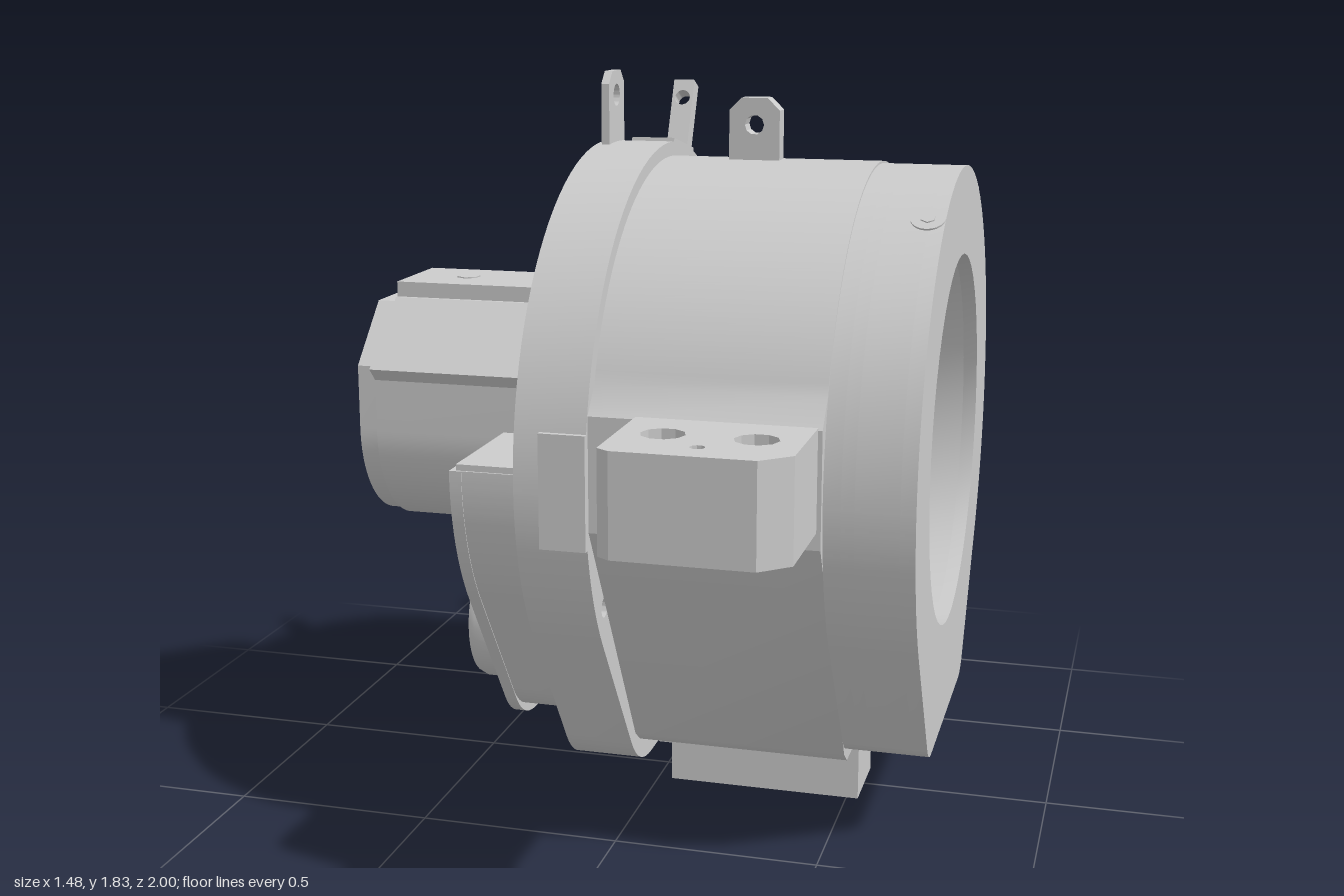
import * as THREE from 'three';
import { toCreasedNormals } from 'three/addons/utils/BufferGeometryUtils.js';

const CY = 0.94; // height of the main axis
const TAN = 0.607; // angle at which the tapered sides leave the circle

export function createModel() {
  const model = new THREE.Group();
  const mat = new THREE.MeshStandardMaterial({ color: 0xcccccc, side: THREE.DoubleSide });

  const add = (name, geo, parent = model) => {
    const mesh = new THREE.Mesh(geo, mat);
    mesh.name = name;
    parent.add(mesh);
    return mesh;
  };
  const box = (name, x0, x1, y0, y1, z0, z1, parent) =>
    add(name, new THREE.BoxGeometry(x1 - x0, y1 - y0, z1 - z0)
      .translate((x0 + x1) / 2, (y0 + y1) / 2, (z0 + z1) / 2), parent);
  const extrude = (shape, depth, seg = 24) => toCreasedNormals(
    new THREE.ExtrudeGeometry(shape, { depth, bevelEnabled: false, curveSegments: seg }), 0.5);
  // Section drawn in (-z, y), extruded along x from x0 to x1
  const alongX = (name, shape, x0, x1, parent) =>
    add(name, extrude(shape, x1 - x0).rotateY(Math.PI / 2).translate(x0, 0, 0), parent);
  const circle = (u, v, r) => new THREE.Path().absarc(u, v, r, 0, Math.PI * 2, true);
  const poly = (pts) => new THREE.Shape(pts.map((p) => new THREE.Vector2(...p)));

  // Lower half of a circle that tapers to a flat, rounded bottom
  const lowerCasing = (r, bottom, round) => {
    const c = Math.cos(TAN), s = Math.sin(TAN);
    const w = (r + s * (bottom - CY)) / c;
    const sh = new THREE.Shape();
    sh.absarc(0, CY, r, Math.PI, Math.PI + TAN, false);
    sh.lineTo(-w - s * round, bottom + c * round);
    sh.quadraticCurveTo(-w, bottom, -w + round, bottom);
    sh.lineTo(w - round, bottom);
    sh.quadraticCurveTo(w, bottom, w + s * round, bottom + c * round);
    sh.absarc(0, CY, r, -TAN, 0, false);
    return sh;
  };
  const casing = (r, bottom, round, holes) => {
    const sh = lowerCasing(r, bottom, round);
    sh.absarc(0, CY, r, 0, Math.PI, false);
    sh.holes.push(...holes);
    return sh;
  };
  // Motor section: half octagon above, semicircle below
  const motorSection = (k, Kind = THREE.Shape) => {
    const p = new Kind();
    p.moveTo(k, CY);
    p.lineTo(k, CY + k * 0.6);
    p.lineTo(k * 0.47, CY + k * 1.13);
    p.lineTo(-k * 0.47, CY + k * 1.13);
    p.lineTo(-k, CY + k * 0.6);
    p.lineTo(-k, CY);
    p.absarc(0, CY, k, Math.PI, Math.PI * 2, false);
    return p;
  };

  // Main housing: round top, upright side pads, flat tapering lower panels
  const housing = new THREE.Shape();
  housing.absarc(0, CY, 0.68, 0.345, Math.PI - 0.345, false);
  for (const [u, v] of [[-0.692, 1.11], [-0.692, 0.84], [-0.32, 0.21], [-0.28, 0.18],
    [0.28, 0.18], [0.32, 0.21], [0.692, 0.84], [0.692, 1.11]]) housing.lineTo(u, v);
  housing.holes.push(circle(0, CY, 0.6));
  alongX('housing', housing, 0, 0.53);

  // Stepped front ring
  const ring = new THREE.Group();
  ring.name = 'frontRing';
  model.add(ring);
  for (const [x0, x1, r] of [[0.53, 0.57, 0.6], [0.57, 0.6, 0.47], [0.6, 0.7, 0.54], [0.7, 0.735, 0.46]])
    alongX('frontRingStep', casing(0.675, 0.215, 0.05, [circle(0, CY, r)]), x0, x1, ring);

  // Rear flange: bolt holes, motor opening above, duct opening below
  const opening = new THREE.Path();
  const k = 0.265;
  opening.moveTo(0.46, CY);
  for (const [u, v] of [[k, 0], [k, k * 0.58], [k * 0.47, k * 1.1], [-k * 0.47, k * 1.1], [-k, k * 0.58], [-k, 0], [-0.46, 0]])
    opening.lineTo(u, CY + v);
  opening.absarc(0, CY, 0.46, Math.PI, Math.PI * 2, false);
  const flangeHoles = [opening];
  for (let i = 0; i < 11; i++) {
    const a = -0.5 + (i * (Math.PI + 1)) / 10;
    flangeHoles.push(circle(0.655 * Math.cos(a), CY + 0.655 * Math.sin(a), 0.024));
  }
  alongX('rearFlange', casing(0.715, 0.105, 0.12, flangeHoles), -0.17, 0);

  // Motor shell, end cap and cover plates
  const shell = motorSection(0.28);
  shell.holes.push(motorSection(0.265, THREE.Path));
  alongX('motorShell', shell, -0.69, -0.17);
  const cap = motorSection(0.27);
  cap.holes.push(circle(-0.11, CY, 0.035));
  alongX('motorEndCap', cap, -0.74, -0.69);
  box('motorTopPlate', -0.69, -0.17, 1.23, 1.295, -0.12, 0.12);
  add('motorTopPort', new THREE.CylinderGeometry(0.03, 0.03, 0.01, 6).translate(-0.54, 1.293, 0));
  for (const s of [-1, 1]) {
    const cover = new THREE.Group();
    cover.name = 'motorCover';
    cover.position.set(0, 1.158, s * 0.227);
    cover.rotation.x = s * Math.PI / 4;
    model.add(cover);
    box('motorCoverPlate', -0.69, -0.17, -0.03, 0.022, -0.1, 0.1, cover);
    add('motorCoverPort', new THREE.CylinderGeometry(0.03, 0.03, 0.01, 12).translate(-0.275, 0.02, -s * 0.015), cover);
  }

  // Air duct behind the flange: U-shaped wall, back plate and two top plates
  const ductWall = new THREE.Shape([
    ...lowerCasing(0.61, 0.2, 0.1).getPoints(24),
    ...lowerCasing(0.59, 0.22, 0.1).getPoints(24).reverse()]);
  alongX('ductWall', ductWall, -0.34, -0.17);
  const ductBack = lowerCasing(0.612, 0.17, 0.1);
  ductBack.holes.push(circle(0, 0.395, 0.165));
  // The motor passes through the top edge of the back plate
  ductBack.lineTo(0.268, CY);
  ductBack.absarc(0, CY, 0.268, 0, Math.PI, true);
  alongX('ductBack', ductBack, -0.365, -0.335);
  for (const s of [-1, 1])
    box('ductTopPlate', -0.35, -0.17, 0.93, 0.955, s > 0 ? 0.28 : -0.605, s > 0 ? 0.605 : -0.28);

  // Round duct inlet with softened edges
  const inletProfile = [[0.165, 0], [0.165, 0.13], [0.172, 0.133], [0.18, 0.115], [0.18, 0.02], [0.172, 0]]
    .map((p) => new THREE.Vector2(...p));
  add('ductInlet', toCreasedNormals(new THREE.LatheGeometry(inletProfile, 40), 0.6)
    .rotateZ(Math.PI / 2).translate(-0.365, 0.393, 0));

  // Side mounting lugs and thin rim plates
  const lug = poly([[0.11, 0.6], [0.52, 0.6], [0.52, 0.94], [0.455, 1], [0.14, 1], [0.11, 0.98]]);
  lug.holes.push(circle(0.21, 0.825, 0.05), circle(0.415, 0.825, 0.05), circle(0.31, 0.92, 0.017));
  for (const s of [-1, 1]) {
    add('mountingLug', extrude(lug, 0.235, 5).rotateX(s * Math.PI / 2).translate(0, s > 0 ? 1.115 : 0.88, 0));
    box('rimPlate', -0.11, 0, 0.8, 1.07, s > 0 ? 0.68 : -0.716, s > 0 ? 0.716 : -0.68);
  }

  // Foot under the housing
  add('foot', extrude(poly([[0, 0.1], [0.035, 0.1], [0.035, 0], [0.53, 0], [0.53, 0.2], [0, 0.2]]), 0.2)
    .translate(0, 0, -0.1));

  // Lifting eyes: thin rear plate, middle block, tilted tab
  const eyeShape = (w, h, cut, holeY, r) => {
    const sh = poly([[-w, 0], [w, 0], [w, h - cut], [w - cut, h], [-w + cut, h], [-w, h - cut]]);
    sh.holes.push(circle(0, holeY, r));
    return sh;
  };
  add('rearEye', extrude(eyeShape(0.065, 0.24, 0.03, 0.18, 0.027), 0.02)
    .rotateY(Math.PI / 2).translate(-0.155, 1.59, 0));
  add('middleEye', extrude(eyeShape(0.063, 0.17, 0.03, 0.105, 0.024), 0.05, 5).translate(0.223, 1.6, -0.025));

  // Parts set radially around the main axis
  const radial = (name, angle) => {
    const g = new THREE.Group();
    g.name = name;
    g.position.y = CY;
    g.rotation.x = angle;
    model.add(g);
    return g;
  };
  add('tiltedEyeTab', extrude(eyeShape(0.028, 0.235, 0.002, 0.185, 0.02), 0.045)
    .translate(-0.057, 0.69, -0.022), radial('tiltedEye', -0.435));
  const plate = radial('topRimPlate', -0.21);
  box('topRimPlateBody', -0.11, 0, 0.68, 0.717, -0.1, 0.1, plate);
  for (const z of [-0.035, 0.035])
    add('rimPlateScrew', new THREE.CylinderGeometry(0.016, 0.016, 0.008, 10).translate(-0.057, 0.716, z), plate);
  for (const s of [-1, 1]) {
    const port = radial('ringPort', s * 0.515);
    add('portCollar', new THREE.CylinderGeometry(0.04, 0.04, 0.01, 20).translate(0.695, 0.673, 0), port);
    add('portPlug', new THREE.CylinderGeometry(0.018, 0.018, 0.01, 6).translate(0.695, 0.676, 0), port);
  }

  // Side pipe: leaves the housing, turns backward, then outward
  const v = (x, y, z) => new THREE.Vector3(x, y, z);
  const c1 = v(0.29, 0.505, -0.755), c2 = v(-0.43, 0.505, -0.755);
  const start = v(0.29, 0.662, -0.52), end = v(-0.43, 0.505, -0.95);
  const path = new THREE.CurvePath();
  const near = (c, to, d) => c.clone().add(to.clone().sub(c).setLength(d));
  const a1 = near(c1, start, 0.1), b1 = near(c1, c2, 0.1);
  const a2 = near(c2, c1, 0.13), b2 = near(c2, end, 0.11);
  path.add(new THREE.LineCurve3(start, a1));
  path.add(new THREE.QuadraticBezierCurve3(a1, c1, b1));
  path.add(new THREE.LineCurve3(b1, a2));
  path.add(new THREE.QuadraticBezierCurve3(a2, c2, b2));
  path.add(new THREE.LineCurve3(b2, end));
  add('sidePipe', new THREE.TubeGeometry(path, 100, 0.074, 24));
  add('pipeCollar', new THREE.CylinderGeometry(0.078, 0.078, 0.06, 24, 1, true)
    .rotateX(Math.PI / 2).translate(-0.43, 0.505, -0.915));

  // Four-hole flange at the pipe end
  const pf = new THREE.Shape();
  pf.moveTo(0.07, 0.135);
  pf.lineTo(-0.07, 0.135);
  pf.bezierCurveTo(-0.145, 0.07, -0.145, -0.07, -0.07, -0.135);
  pf.lineTo(0.07, -0.135);
  pf.bezierCurveTo(0.145, -0.07, 0.145, 0.07, 0.07, 0.135);
  pf.holes.push(circle(0, 0, 0.062));
  for (const sx of [-1, 1]) for (const sy of [-1, 1]) pf.holes.push(circle(sx * 0.055, sy * 0.095, 0.016));
  add('pipeFlange', extrude(pf, 0.06, 12).translate(-0.43, 0.505, -1));

  return model;
}
